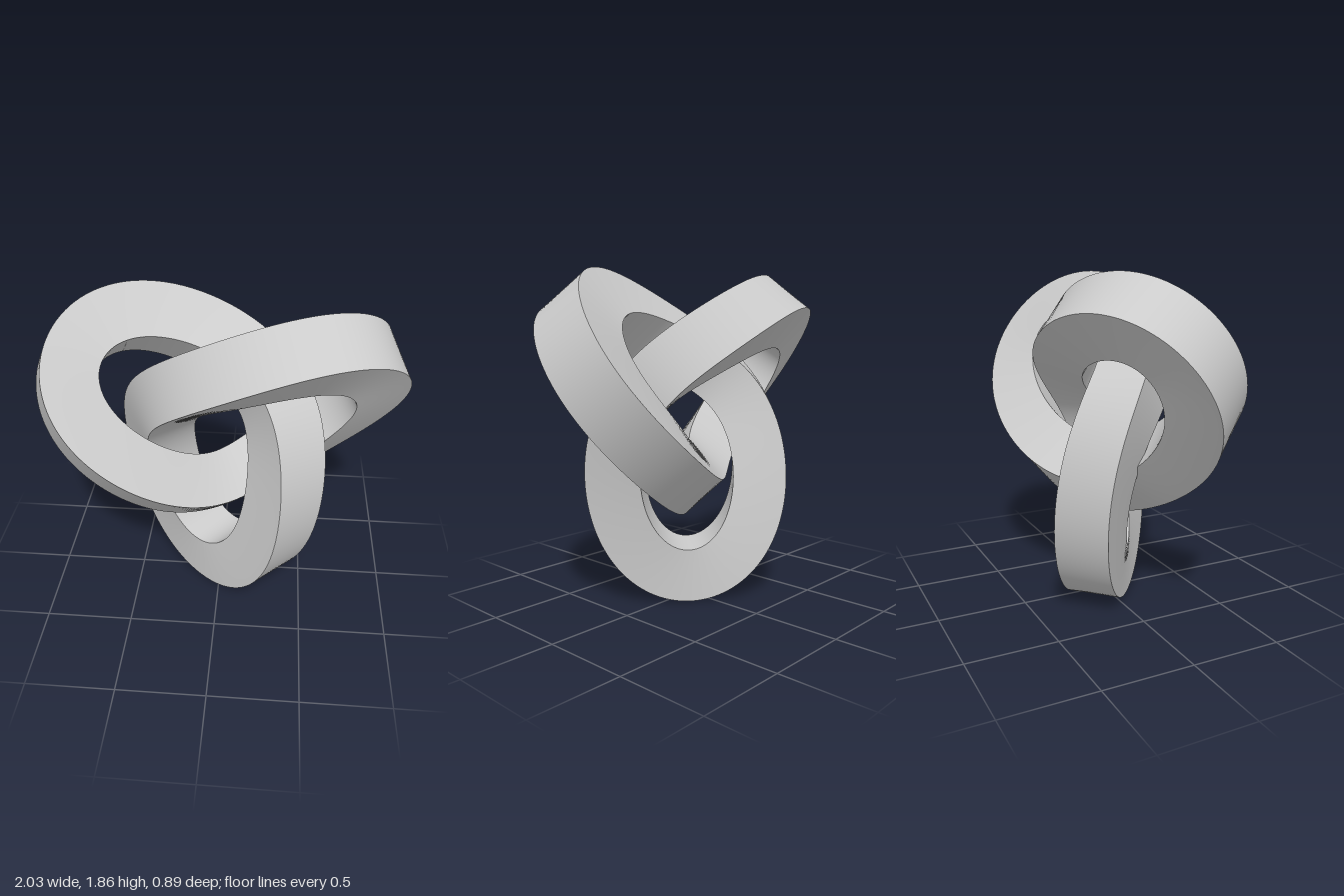
import * as THREE from 'three';

const SEGMENTS = 720;
const HALF = 0.152;         // half the side of the square bar
const TURN = Math.PI * 1.5; // roll of the bar over one full loop
const HEIGHT = 1.065;       // height of the knot's middle

// Centre line: three-lobed knot, one lobe pointing down.
// Pairs of [turns per loop, amplitude] keep the threefold symmetry.
const WAVES = [[2, 0.581], [-1, 0.253], [-4, 0.053], [5, 0.032], [-7, -0.006]];

function centre(s) {
  const p = new THREE.Vector3(0, HEIGHT, 0.23 * Math.sin(3 * s));
  for (const [n, a] of WAVES) {
    p.x += a * Math.sin(n * s);
    p.y -= a * Math.cos(n * s);
  }
  return p;
}

// Points, tangents and the roll that keeps the bar from twisting by itself
function makeStations() {
  const stations = [];
  let roll = 0, heading = 0;
  for (let i = 0; i <= SEGMENTS; i++) {
    const s = (i / SEGMENTS) * Math.PI * 2;
    const tangent = centre(s + 1e-4).sub(centre(s - 1e-4)).normalize();
    const h = Math.atan2(tangent.y, tangent.x);
    if (i > 0) {
      const d = Math.atan2(Math.sin(h - heading), Math.cos(h - heading));
      roll += d * (tangent.z + stations[i - 1].tangent.z) / 2;
    }
    heading = h;
    stations.push({ point: centre(s), tangent, roll });
  }
  // Spread the remaining roll evenly so that the edges meet where the loop closes
  const rest = TURN - roll;
  stations.forEach((st, i) => { st.roll += rest * i / SEGMENTS; });
  return stations;
}

function makeKnotGeometry() {
  const zAxis = new THREE.Vector3(0, 0, 1);
  const rings = makeStations().map(({ point, tangent, roll }) => {
    const out = new THREE.Vector3().crossVectors(tangent, zAxis).normalize();
    const front = new THREE.Vector3().crossVectors(out, tangent);
    return [0, 1, 2, 3].map((k) => {
      const a = roll + Math.PI / 4 + k * Math.PI / 2;
      return point.clone()
        .addScaledVector(out, Math.cos(a) * HALF * Math.SQRT2)
        .addScaledVector(front, Math.sin(a) * HALF * Math.SQRT2);
    });
  });

  // Four separate strips, so the long edges stay sharp
  const positions = [], index = [];
  for (let k = 0; k < 4; k++) {
    const base = positions.length / 3;
    rings.forEach((ring, i) => {
      positions.push(...ring[k].toArray(), ...ring[(k + 1) % 4].toArray());
      if (i === SEGMENTS) return;
      const a = base + i * 2, b = a + 1, d = a + 2, c = a + 3;
      index.push(a, d, c, a, c, b);
    });
  }
  const geometry = new THREE.BufferGeometry();
  geometry.setAttribute('position', new THREE.Float32BufferAttribute(positions, 3));
  geometry.setIndex(index);
  geometry.computeVertexNormals();
  return geometry;
}

export function createModel() {
  const group = new THREE.Group();
  group.name = 'trefoilKnot';
  const bar = new THREE.Mesh(makeKnotGeometry(), new THREE.MeshStandardMaterial({ color: 0xcccccc }));
  bar.name = 'knottedSquareBar';
  group.add(bar);
  return group;
}
